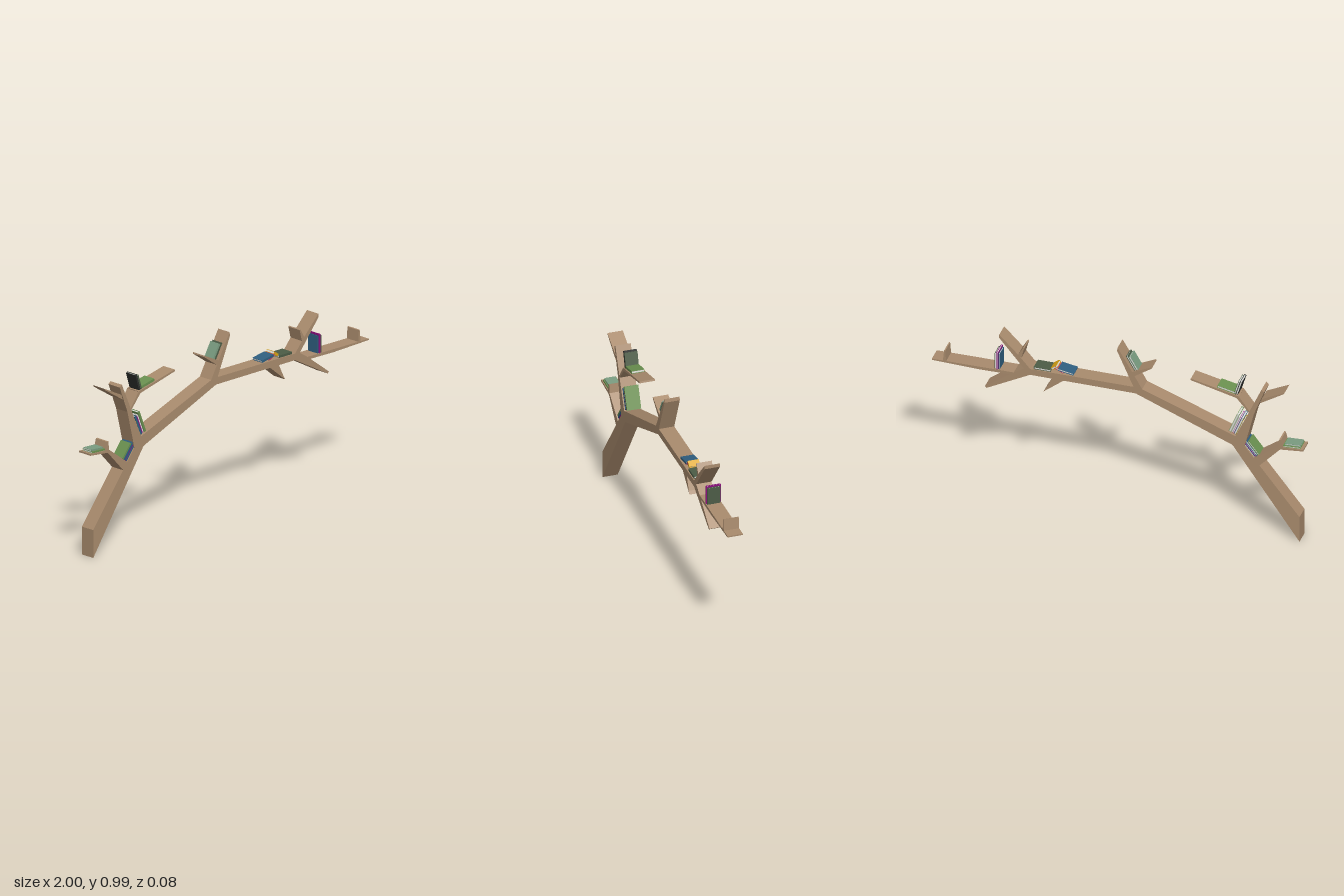
import * as THREE from 'three';

const mat = (name, color) => {
  const m = new THREE.MeshStandardMaterial({ color });
  m.name = name;
  return m;
};

const M = {
  wood: mat('wood', 0xa98b6d),
  green: mat('leaf green', 0x6b9150),
  dark: mat('dark green', 0x4c5c46),
  sage: mat('sage green', 0x7a9c80),
  blue: mat('blue', 0x2f5f80),
  yellow: mat('yellow', 0xdba514),
  purple: mat('purple', 0x8a0f7c),
  pink: mat('pink', 0xb8405f),
  white: mat('paper white', 0xdadad6),
  black: mat('black', 0x2b2d2b),
};

const DEPTH = 0.083;

// A flat board outline in the xy plane, extruded to the shelf depth
function plank(group, name, points) {
  const shape = new THREE.Shape(points.map(([x, y]) => new THREE.Vector2(x, y)));
  const geo = new THREE.ExtrudeGeometry(shape, { depth: DEPTH, bevelEnabled: false });
  geo.translate(0, 0, -DEPTH / 2);
  const mesh = new THREE.Mesh(geo, M.wood);
  mesh.name = name;
  group.add(mesh);
}

// A book in its own frame: thickness along x, height along y, spine at +z
function book(color, t, h, d) {
  const g = new THREE.Group();
  g.name = 'book';
  const c = Math.min(0.002, t * 0.2);
  const box = (name, m, w, hh, dd, x, y, z) => {
    const mesh = new THREE.Mesh(new THREE.BoxGeometry(w, hh, dd), m);
    mesh.name = name;
    mesh.position.set(x, y, z);
    g.add(mesh);
  };
  box('coverLeft', color, c, h, d, c / 2, h / 2, 0);
  box('coverRight', color, c, h, d, t - c / 2, h / 2, 0);
  box('spine', color, t - 2 * c, h, c, t / 2, h / 2, d / 2 - c / 2);
  box('pages', M.white, t - 2 * c, h - 0.006, d - c - 0.003, t / 2, h / 2, 0.0015 - c / 2);
  return g;
}

// A row of books from its lower left corner, tilted by degrees
function bookRow(group, name, x, y, degrees, books) {
  const row = new THREE.Group();
  row.name = name;
  let offset = 0;
  for (const [color, t, h, d] of books) {
    const b = book(M[color], t, h, d);
    b.position.x = offset;
    row.add(b);
    offset += t;
  }
  row.position.set(x, y, 0);
  row.rotation.z = THREE.MathUtils.degToRad(degrees);
  group.add(row);
}

export function createModel() {
  const root = new THREE.Group();
  root.name = 'branchBookshelf';

  // Main limb: trunk, rising bough, level bough
  plank(root, 'trunk', [[-0.98, 0], [-0.62, 0.52], [-0.64, 0.575], [-0.685, 0.525], [-0.98, 0.15]]);
  plank(root, 'risingBough', [[-0.62, 0.52], [-0.1, 0.73], [-0.12, 0.768], [-0.64, 0.575]]);
  plank(root, 'levelBough', [[-0.1, 0.73], [0.465, 0.73], [0.495, 0.765], [-0.12, 0.768]]);

  // Lower left branch with a small shelf
  plank(root, 'lowerLeftBranch', [[-0.765, 0.423], [-0.735, 0.461], [-0.868, 0.558], [-0.878, 0.545]]);
  plank(root, 'lowerLeftShelf', [[-0.878, 0.543], [-0.868, 0.557], [-1, 0.564], [-1, 0.555]]);
  plank(root, 'lowerLeftStop', [[-0.893, 0.553], [-0.866, 0.556], [-0.872, 0.604], [-0.88, 0.602]]);

  // Upper left branch with its twigs and shelf
  plank(root, 'upperLeftBranch',
    [[-0.685, 0.525], [-0.635, 0.575], [-0.708, 0.735], [-0.775, 0.886], [-0.79, 0.874], [-0.735, 0.73]]);
  plank(root, 'upperLeftTwig', [[-0.77, 0.805], [-0.777, 0.832], [-0.9, 0.893], [-0.895, 0.884]]);
  plank(root, 'upperShelfArm', [[-0.726, 0.725], [-0.706, 0.735], [-0.64, 0.812], [-0.655, 0.82]]);
  plank(root, 'upperShelf', [[-0.65, 0.808], [-0.393, 0.871], [-0.396, 0.88], [-0.655, 0.822]]);

  // Middle branch
  plank(root, 'middleBranch', [[-0.135, 0.762], [-0.09, 0.764], [0, 0.97], [-0.003, 0.99], [-0.085, 0.85]]);
  plank(root, 'middleTwig', [[-0.09, 0.832], [-0.08, 0.855], [-0.183, 0.905], [-0.186, 0.898]]);

  // Hanging twig and forked end
  plank(root, 'hangingTwig', [[0.285, 0.732], [0.395, 0.643], [0.385, 0.66], [0.35, 0.732]]);
  plank(root, 'droopingBranch', [[0.465, 0.731], [0.7, 0.604], [0.71, 0.612], [0.558, 0.725], [0.495, 0.765]]);
  plank(root, 'endShelf', [[0.54, 0.712], [0.74, 0.709], [0.995, 0.716], [0.995, 0.723], [0.555, 0.727]]);
  plank(root, 'endShelfStop', [[0.918, 0.72], [0.936, 0.72], [0.929, 0.787], [0.923, 0.785]]);
  plank(root, 'raisedBranch', [[0.465, 0.764], [0.5, 0.762], [0.633, 0.922], [0.633, 0.942], [0.53, 0.838]]);
  plank(root, 'raisedTwig', [[0.515, 0.822], [0.532, 0.84], [0.504, 0.888], [0.499, 0.884]]);

  // Books leaning in the main fork
  bookRow(root, 'forkBooks', -0.648, 0.577, 22, [
    ['yellow', 0.013, 0.092, 0.07], ['blue', 0.012, 0.115, 0.072],
    ['purple', 0.008, 0.105, 0.068], ['white', 0.008, 0.11, 0.066], ['green', 0.013, 0.124, 0.076]]);

  // Books resting along the trunk
  bookRow(root, 'trunkBooks', -0.763, 0.485, -38, [
    ['green', 0.01, 0.09, 0.07], ['blue', 0.012, 0.1, 0.07],
    ['purple', 0.007, 0.088, 0.066], ['blue', 0.011, 0.1, 0.07]]);

  // Books on the left shelves
  bookRow(root, 'lowerLeftBooks', -0.982, 0.581, -93, [
    ['sage', 0.009, 0.085, 0.06], ['green', 0.01, 0.097, 0.072]]);
  bookRow(root, 'upperStandingBooks', -0.645, 0.824, 17, [
    ['black', 0.011, 0.09, 0.07], ['dark', 0.01, 0.082, 0.07]]);
  bookRow(root, 'upperFlatBook', -0.635, 0.842, -78, [['green', 0.014, 0.1, 0.07]]);

  // Books on the middle branch
  bookRow(root, 'middleBooks', -0.112, 0.868, -30, [
    ['sage', 0.012, 0.085, 0.062], ['dark', 0.011, 0.095, 0.062]]);

  // Books tumbled on the level bough
  bookRow(root, 'tumbledBlueBook', 0.235, 0.779, -80, [['blue', 0.012, 0.085, 0.07]]);
  bookRow(root, 'tumbledPinkBook', 0.288, 0.776, -65, [['pink', 0.012, 0.054, 0.06]]);
  bookRow(root, 'tumbledYellowBook', 0.352, 0.774, 55, [['yellow', 0.014, 0.035, 0.06]]);
  bookRow(root, 'flatGreenBook', 0.36, 0.778, -90, [['dark', 0.013, 0.09, 0.072]]);

  // Upright books on the end shelf
  bookRow(root, 'endShelfBooks', 0.632, 0.725, 0, [
    ['blue', 0.008, 0.095, 0.07], ['purple', 0.01, 0.103, 0.08], ['dark', 0.01, 0.095, 0.07]]);

  return root;
}
